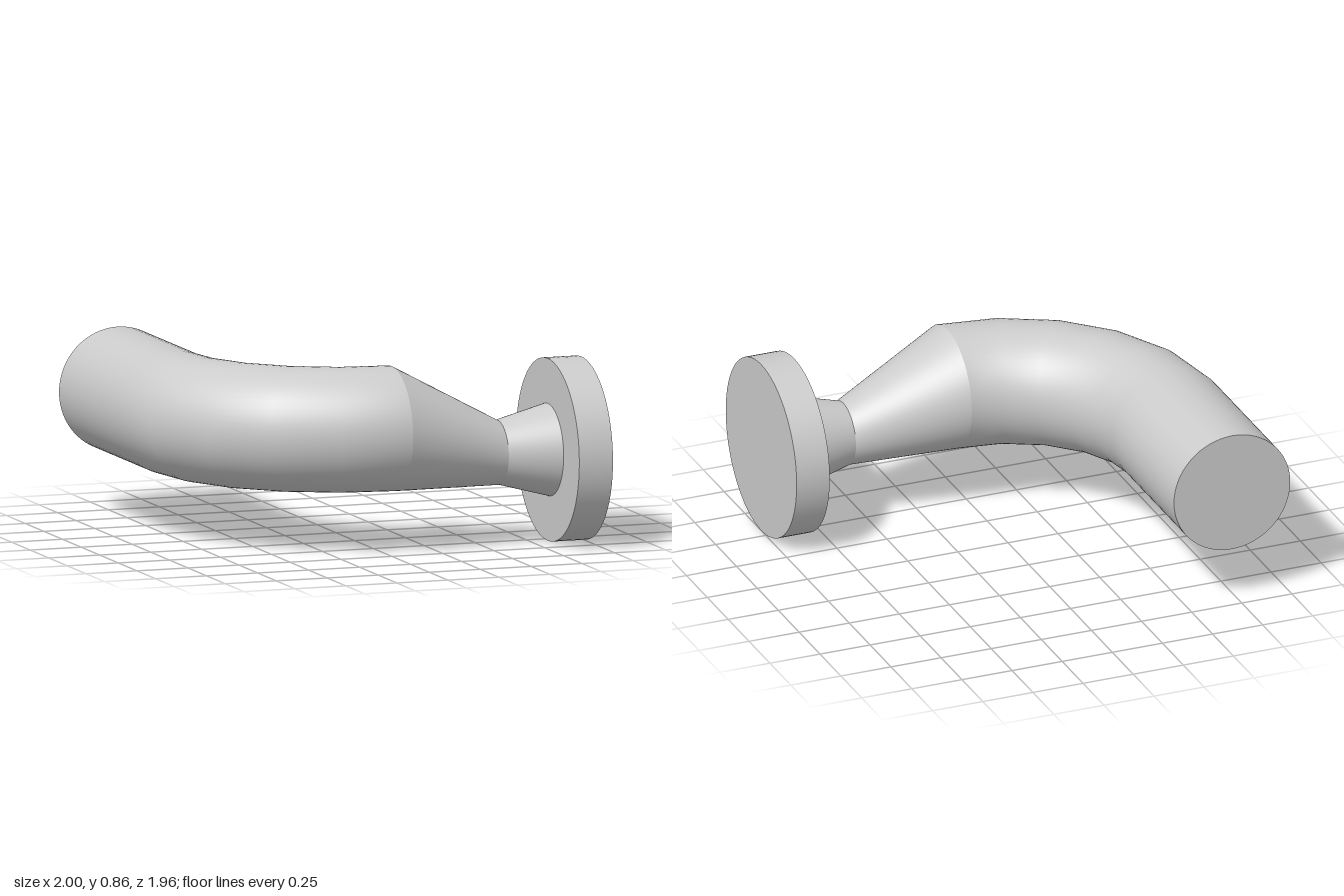
import * as THREE from 'three';

const SIDES = 64;
const PIPE_R = 0.29, PIPE_Y = 0.565; // large pipe radius and axis height
const NECK_R = 0.15, LOW_Y = 0.425;  // narrow end radius and flange axis height
const BEND_R = 0.78, BEND_X = 0.07, BEND_Z = -0.225;
const AXIS_Z = BEND_Z + BEND_R;

export function createModel() {
  const model = new THREE.Group();
  const material = new THREE.MeshStandardMaterial({ color: 0xcccccc, side: THREE.DoubleSide });

  const add = (name, geometry, x, y, z) => {
    const mesh = new THREE.Mesh(geometry, material);
    mesh.name = name;
    mesh.position.set(x, y, z);
    model.add(mesh);
  };

  // Round section along x, from radius r0 at x0 to radius r1 at x1
  const sectionX = (x0, x1, r0, r1, open) =>
    new THREE.CylinderGeometry(r1, r0, x1 - x0, SIDES, 1, open).rotateZ(-Math.PI / 2);

  // Straight pipe running to the back
  const pipeLength = BEND_Z + 0.98;
  add('straightPipe',
    new THREE.CylinderGeometry(PIPE_R, PIPE_R, pipeLength, SIDES).rotateX(Math.PI / 2),
    BEND_X - BEND_R, PIPE_Y, BEND_Z - pipeLength / 2);

  // Quarter bend in five segments
  add('elbow',
    new THREE.TorusGeometry(BEND_R, PIPE_R, SIDES, 5, Math.PI / 2)
      .rotateZ(Math.PI / 2).rotateX(Math.PI / 2),
    BEND_X, PIPE_Y, BEND_Z);

  // Eccentric reducer: a cone sheared so its underside stays level
  const x1 = 0.59, x2 = 0.835;
  const slope = (LOW_Y - PIPE_Y) / (x1 - BEND_X);
  add('eccentricReducer',
    sectionX(BEND_X, x1, PIPE_R, NECK_R, true)
      .applyMatrix4(new THREE.Matrix4().makeShear(slope, 0, 0, 0, 0, 0)),
    (BEND_X + x1) / 2, (PIPE_Y + LOW_Y) / 2, AXIS_Z);

  // Flared neck and flange disc
  add('flaredNeck', sectionX(x1, x2, NECK_R, 0.215, true), (x1 + x2) / 2, LOW_Y, AXIS_Z);
  add('flange', sectionX(x2, 1, LOW_Y, LOW_Y, false), (x2 + 1) / 2, LOW_Y, AXIS_Z);

  return model;
}
